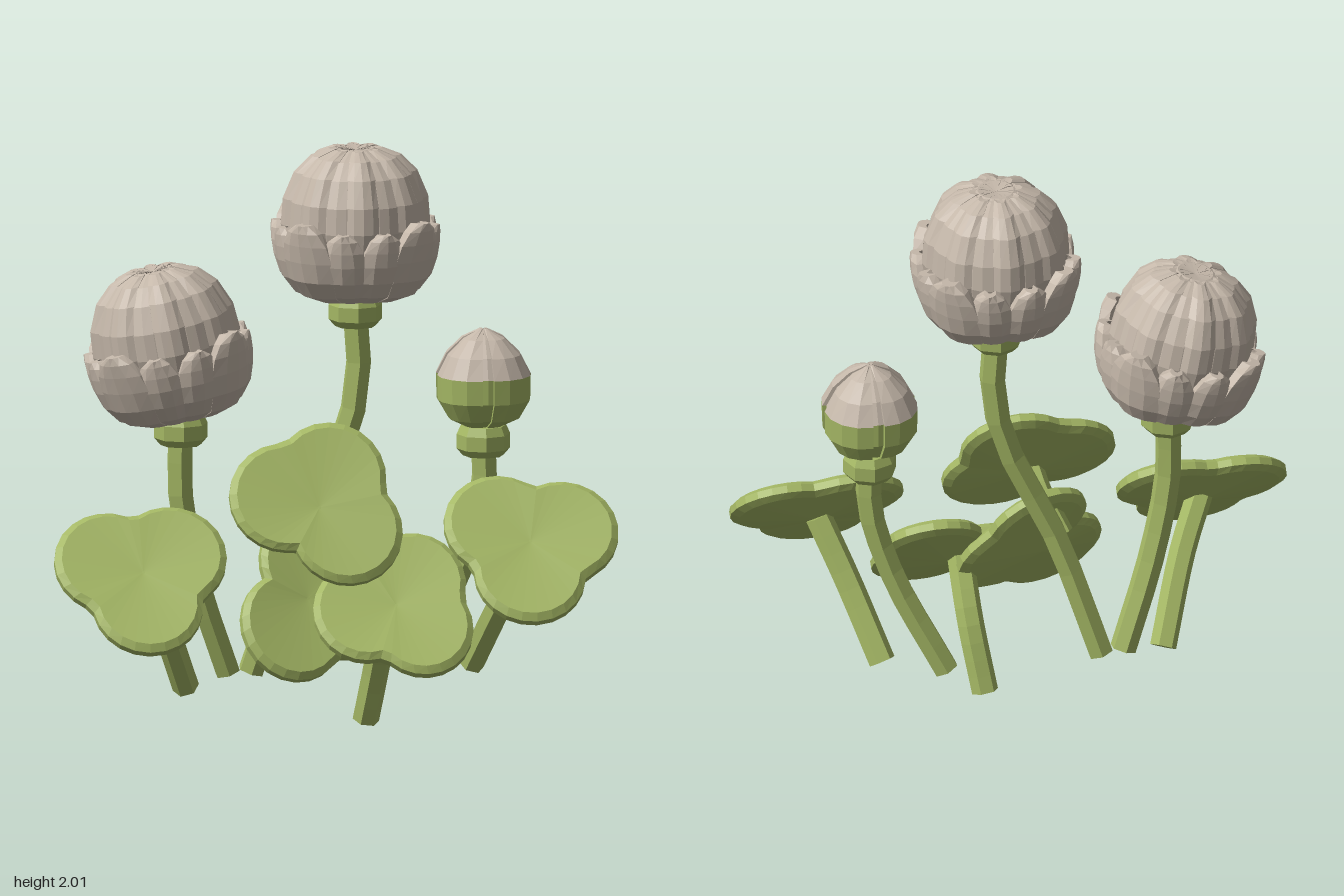
import * as THREE from 'three';

const mat = (name, color) => {
  const m = new THREE.MeshStandardMaterial({ color, flatShading: true });
  m.name = name;
  return m;
};
const V = (x, y, z) => new THREE.Vector3(x, y, z);

// Closed skin over a stack of rings (each ring counter-clockwise seen from the stacking direction)
function loft(rings) {
  const n = rings[0].length, pos = [], idx = [];
  rings.forEach(r => r.forEach(p => pos.push(p.x, p.y, p.z)));
  for (let i = 0; i < rings.length - 1; i++) for (let j = 0; j < n; j++) {
    const k = (j + 1) % n, a = i * n + j, b = i * n + k, c = b + n, d = a + n;
    idx.push(a, b, c, a, c, d);
  }
  [0, rings.length - 1].forEach((r, end) => {
    const c = rings[r].reduce((s, p) => s.add(p), V(0, 0, 0)).divideScalar(n);
    const ci = pos.length / 3;
    pos.push(c.x, c.y, c.z);
    for (let j = 0; j < n; j++) {
      const a = r * n + j, b = r * n + (j + 1) % n;
      idx.push(ci, end ? a : b, end ? b : a);
    }
  });
  const g = new THREE.BufferGeometry();
  g.setAttribute('position', new THREE.Float32BufferAttribute(pos, 3));
  g.setIndex(idx);
  g.computeVertexNormals();
  return g;
}

// Curved petal: profile rows are [radius, height, half angle]
function petalGeometry(profile, bulge, thick) {
  const s = [-1, -0.5, 0, 0.5, 1];
  return loft(profile.map(([r, y, h]) => {
    const at = (t, inset) => {
      const q = Math.max(0.002, r + bulge * (1 - t * t) - inset);
      return V(q * Math.sin(h * t), y, q * Math.cos(h * t));
    };
    return [...s.map(t => at(t, 0)), ...[...s].reverse().map(t => at(t, thick))];
  }));
}

// Three-lobed leaf facing +z
function cloverGeometry(lobes) {
  const n = 36, d = 0.125, p = 0.195;
  const radius = a => Math.max(...lobes.map(l => {
    const e = a - l * Math.PI / 180, q = p * p - (d * Math.sin(e)) ** 2;
    return d * Math.cos(e) + Math.sqrt(q);
  }));
  const ring = (inset, z, scale = 1) => Array.from({ length: n }, (_, i) => {
    const a = i / n * Math.PI * 2, r = (radius(a) - inset) * scale;
    return V(r * Math.cos(a), r * Math.sin(a), z);
  });
  return loft([ring(0, -0.06, 0.02), ring(0.03, -0.035), ring(0, -0.02),
    ring(0, 0.005), ring(0.025, 0.022), ring(0, 0.008, 0.02)]);
}

// Six-sided capped stem along a smooth path
function stemGeometry(points, radius = 0.046) {
  const curve = new THREE.CatmullRomCurve3(points.map(p => V(...p)));
  const steps = 8, f = curve.computeFrenetFrames(steps);
  return loft(Array.from({ length: steps + 1 }, (_, i) => {
    const c = curve.getPointAt(i / steps);
    return Array.from({ length: 6 }, (_, j) => {
      const a = j / 6 * Math.PI * 2;
      return c.clone().addScaledVector(f.normals[i], radius * Math.cos(a))
        .addScaledVector(f.binormals[i], radius * Math.sin(a));
    });
  }));
}

export function createModel() {
  const green = mat('leaf green', 0xa4b764);
  const cream = mat('petal beige', 0xc4b7a9);
  const model = new THREE.Group();

  const add = (parent, name, geometry, material) => {
    const m = new THREE.Mesh(geometry, material);
    m.name = name;
    parent.add(m);
    return m;
  };
  // Copies of a part around the vertical axis, at angles in degrees
  const around = (parent, name, geometry, material, angles) => angles.forEach(a => {
    add(parent, name, geometry, material).rotation.y = a * Math.PI / 180;
  });
  const steps = (count, start) => Array.from({ length: count }, (_, i) => start + i * 360 / count);
  const lathe = (pts, sides) =>
    new THREE.LatheGeometry(pts.map(([r, y]) => new THREE.Vector2(r, y)), sides);

  // Flower head pieces, base at the origin
  const domeProfile = [[0.08, 0.004, 0.3], [0.17, 0.06, 0.3], [0.212, 0.16, 0.3], [0.235, 0.26, 0.3],
    [0.228, 0.35, 0.3], [0.19, 0.44, 0.3], [0.135, 0.495, 0.3], [0.072, 0.52, 0.3], [0.012, 0.512, 0.3]];
  const innerPetal = petalGeometry(domeProfile.map(([r, y, h]) => [r, y, h * 0.9]), 0.022, 0.03);
  const betweenPetal = petalGeometry(domeProfile.map(([r, y, h]) => [r - 0.004, y - 0.004, h]), 0.012, 0.03);
  const dome = lathe([[0.001, 0.004], ...domeProfile.map(([r, y]) => [Math.max(r - 0.01, 0.001), y])], 16);
  const sidePetal = petalGeometry([[0.03, 0.0, 0.3], [0.13, 0.004, 0.3], [0.2, 0.035, 0.3], [0.242, 0.09, 0.31],
    [0.262, 0.15, 0.31], [0.27, 0.2, 0.27], [0.272, 0.24, 0.19], [0.27, 0.262, 0.08]], 0.022, 0.03);
  const cornerPetal = petalGeometry([[0.03, 0.0, 0.3], [0.14, 0.002, 0.32], [0.215, 0.03, 0.36], [0.26, 0.09, 0.38],
    [0.28, 0.16, 0.38], [0.292, 0.22, 0.32], [0.298, 0.265, 0.22], [0.296, 0.292, 0.09]], 0.018, 0.035);
  const collar = lathe([[0.001, -0.1], [0.07, -0.1], [0.092, -0.075], [0.092, -0.025], [0.078, 0.005], [0.001, 0.005]], 8);

  const flower = (x, y, z, tilt) => {
    const g = new THREE.Group();
    g.name = 'flower';
    const head = new THREE.Group();
    head.name = 'flowerHead';
    head.rotation.z = tilt;
    g.position.set(x, y, z);
    add(g, 'collar', collar, green);
    add(head, 'flowerCore', dome, cream);
    around(head, 'innerPetal', innerPetal, cream, steps(8, 0));
    around(head, 'betweenPetal', betweenPetal, cream, steps(8, 22.5));
    around(head, 'sidePetal', sidePetal, cream, [...steps(4, 16), ...steps(4, -16)]);
    around(head, 'cornerPetal', cornerPetal, cream, steps(4, 45));
    g.add(head);
    model.add(g);
  };
  flower(0.09, 1.48, -0.107, 0);
  flower(-0.51, 1.08, -0.107, 0.19);

  // Bud: green lower half, beige tip, four wide petals with narrow gaps
  const bud = new THREE.Group();
  bud.name = 'bud';
  bud.position.set(0.53, 1.02, -0.11);
  const low = [[0.05, 0], [0.122, 0.035], [0.16, 0.1], [0.162, 0.185]];
  const high = [[0.162, 0.185], [0.126, 0.255], [0.07, 0.31], [0.008, 0.34]];
  const wide = p => p.map(([r, y]) => [r, y, 0.66]);
  const slim = p => p.map(([r, y]) => [Math.max(r - 0.012, 0.001), y]);
  add(bud, 'budCoreBase', lathe([[0.001, 0], ...slim(low)], 16), green);
  add(bud, 'budCoreTip', lathe(slim(high), 16), cream);
  around(bud, 'budSepal', petalGeometry(wide(low), 0.01, 0.03), green, steps(4, 45));
  around(bud, 'budPetal', petalGeometry(wide(high), 0.01, 0.03), cream, steps(4, 45));
  add(bud, 'collar', collar, green);
  model.add(bud);

  // Stems, top to bottom
  const stems = {
    tallFlowerStem: [[0.09, 1.42, -0.11], [0.1, 1.2, -0.11], [0.05, 0.98, -0.11], [-0.12, 0.6, -0.13], [-0.26, 0.17, -0.19]],
    leftFlowerStem: [[-0.51, 1.03, -0.11], [-0.51, 0.8, -0.11], [-0.45, 0.5, -0.13], [-0.34, 0.17, -0.18]],
    budStem: [[0.53, 0.96, -0.11], [0.53, 0.8, -0.11], [0.45, 0.52, -0.13], [0.28, 0.17, -0.19]],
    leftLeafStem: [[-0.67, 0.57, 0.12], [-0.59, 0.4, 0.03], [-0.49, 0.13, -0.13]],
    rightLeafStem: [[0.66, 0.64, 0.12], [0.58, 0.44, 0.02], [0.49, 0.19, -0.13]],
    lowLeafStem: [[0.17, 0.44, 0.1], [0.16, 0.25, -0.02], [0.125, 0.01, -0.1]],
    highLeafStem: [[-0.07, 0.77, 0.08], [-0.09, 0.7, 0.02], [-0.15, 0.57, -0.05]],
  };
  for (const [name, pts] of Object.entries(stems)) add(model, name, stemGeometry(pts), green);

  // Leaves: position, backward tilt, yaw, width factor, lobe angles
  const leaves = [
    ['leftLeaf', [-0.67, 0.585, 0.16], 0.74, 0, 0.97, [158, 32, -87]],
    ['rightLeaf', [0.66, 0.665, 0.165], 0.74, 0, 0.98, [145, 20, -95]],
    ['highLeaf', [-0.06, 0.79, 0.115], 0.55, 0, 0.98, [160, 68, -42]],
    ['lowLeaf', [0.2, 0.45, 0.15], 0.75, 0, 0.9, [50, -42, 190]],
    ['backLeaf', [-0.1, 0.475, 0.11], 0.52, 0.3, 0.95, [230, 345, 70]],
  ];
  for (const [name, p, tilt, yaw, width, lobes] of leaves) {
    const leaf = add(model, name, cloverGeometry(lobes), green);
    leaf.position.set(...p);
    leaf.rotation.set(-tilt, yaw, 0, 'YXZ');
    leaf.scale.x = width;
  }
  return model;
}
